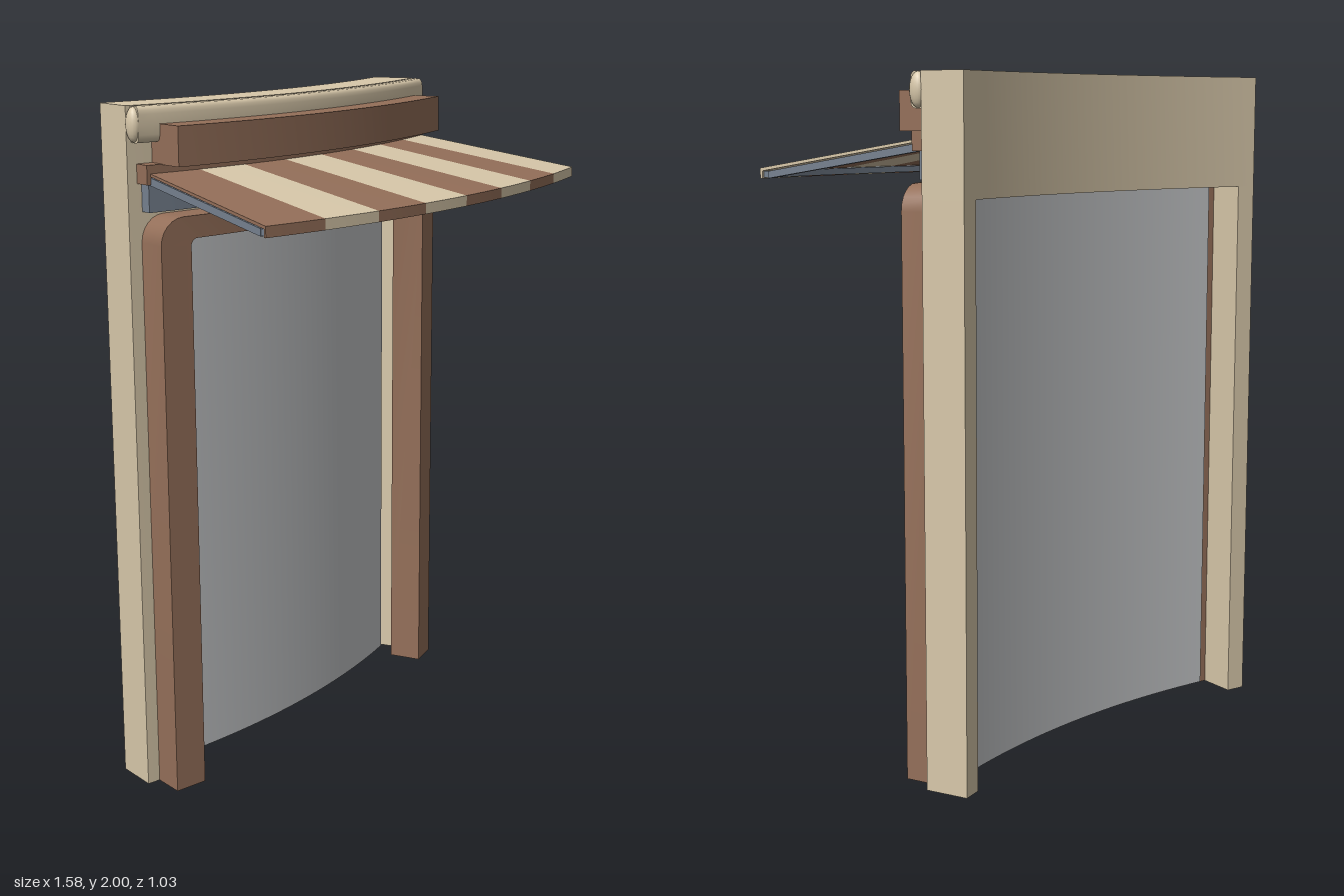
import * as THREE from 'three';
import { mergeGeometries, toCreasedNormals } from 'three/addons/utils/BufferGeometryUtils.js';

const RAD = Math.PI / 180;
// Everything bends around one vertical axis
const AXIS_X = -0.785, AXIS_Z = -2.71;

const material = (name, color, side = THREE.FrontSide) => {
  const m = new THREE.MeshStandardMaterial({ color, side });
  m.name = name;
  return m;
};

// Sweeps a counter-clockwise (radius, height) profile between two angles, with end caps
function sweep(profile, a0, a1, segments = 24, crease = 0.6) {
  const pts = profile.map(([r, y]) => new THREE.Vector2(r, y));
  const body = new THREE.LatheGeometry([...pts, pts[0].clone()], segments, a0 * RAD, (a1 - a0) * RAD);
  const cap = (angle, flip) => {
    const g = new THREE.ShapeGeometry(new THREE.Shape(pts));
    g.rotateY(angle * RAD - Math.PI / 2);
    if (flip) g.index.array.reverse();
    return g;
  };
  return toCreasedNormals(mergeGeometries([body, cap(a0, false), cap(a1, true)]), crease);
}

const rect = (r0, r1, y0, y1) => [[r0, y0], [r1, y0], [r1, y1], [r0, y1]];

// Path of (angle, height) points up, over and down a doorway with rounded corners
function archPath(a0, a1, top, radius) {
  const path = [[a0, 0]];
  const da = radius / 2.7 / RAD, steps = 6, across = 20;
  for (let i = 0; i <= steps; i++) {
    const t = (i / steps) * Math.PI / 2;
    path.push([a0 + da * (1 - Math.cos(t)), top - radius * (1 - Math.sin(t))]);
  }
  for (let i = 1; i < across; i++) {
    path.push([a0 + da + (a1 - a0 - 2 * da) * i / across, top]);
  }
  for (let i = 0; i <= steps; i++) {
    const t = (i / steps) * Math.PI / 2;
    path.push([a1 - da * (1 - Math.sin(t)), top - radius * (1 - Math.cos(t))]);
  }
  path.push([a1, 0]);
  return path;
}

// Rectangular section carried between an outer and an inner arch path
function archFrame(outer, inner, r0, r1) {
  const positions = [], index = [];
  const put = ([a, y], r) => positions.push(r * Math.sin(a * RAD), y, r * Math.cos(a * RAD));
  outer.forEach((p, i) => {
    put(p, r1); put(inner[i], r1); put(inner[i], r0); put(p, r0);
  });
  const last = outer.length - 1;
  for (let i = 0; i < last; i++) {
    for (let k = 0; k < 4; k++) {
      const a = i * 4 + k, b = i * 4 + (k + 1) % 4;
      index.push(a, b, b + 4, a, b + 4, a + 4);
    }
  }
  index.push(0, 2, 1, 0, 3, 2);
  const e = last * 4;
  index.push(e, e + 1, e + 2, e, e + 2, e + 3);
  const g = new THREE.BufferGeometry();
  g.setAttribute('position', new THREE.Float32BufferAttribute(positions, 3));
  g.setIndex(index);
  return toCreasedNormals(g, 0.6);
}

export function createModel() {
  const cream = material('cream', 0xd8c8aa);
  const brown = material('brown', 0x946f59);
  const glass = material('pale grey', 0xc3c5c7);
  const steel = material('steel blue', 0x76818f);

  const group = new THREE.Group();
  group.name = 'curvedShopDoorway';
  const add = (name, geometry, mat) => {
    const mesh = new THREE.Mesh(geometry, mat);
    mesh.name = name;
    mesh.position.set(AXIS_X, 0, AXIS_Z);
    group.add(mesh);
    return mesh;
  };

  // Wall surround: lintel and two slim posts
  add('lintel', sweep(rect(2.53, 2.66, 1.66, 2), 0, 30), cream);
  add('rightWallPost', sweep(rect(2.53, 2.66, 0, 1.66), 0, 1.4, 2), cream);
  add('leftWallPost', sweep(rect(2.53, 2.66, 0, 1.66), 28.6, 30, 2), cream);

  // Rounded cornice rail along the top, with soft ends
  const oval = [];
  for (let i = 0; i < 20; i++) {
    const t = (i / 20) * Math.PI * 2, c = Math.cos(t), s = Math.sin(t);
    oval.push([2.677 + 0.025 * Math.sign(c) * Math.sqrt(Math.abs(c)),
      1.95 + 0.05 * Math.sign(s) * Math.sqrt(Math.abs(s))]);
  }
  add('corniceRail', sweep(oval, 0.3, 29.7, 30, 1), cream);
  for (const [name, a] of [['rightRailEnd', 0.3], ['leftRailEnd', 29.7]]) {
    const end = new THREE.SphereGeometry(1, 16, 12);
    end.scale(0.021, 0.048, 0.025);
    end.translate(0, 1.95, 2.677);
    end.rotateY(a * RAD);
    add(name, end, cream);
  }

  // Sign board and the batten that holds the awning
  add('signBoard', sweep(rect(2.66, 2.786, 1.84, 1.95), 1.75, 28.1), brown);
  add('awningBatten', sweep(rect(2.655, 2.71, 1.788, 1.842), 0.65, 29.3), brown);

  // Door frame and glass panel
  add('doorFrame', archFrame(archPath(0.85, 29, 1.7, 0.075), archPath(2.95, 26.95, 1.637, 0.02), 2.65, 2.755), brown);
  add('glassPanel', sweep(rect(2.588, 2.61, 0.027, 1.665), 3, 27), glass);

  // Striped awning with a short hanging lip
  const cloth = [[2.7, 1.812], [3.217, 1.727], [3.217, 1.705], [3.225, 1.705], [3.225, 1.735], [2.7, 1.82]];
  const first = 0.88, stripe = (29.1 - first) / 8;
  for (let i = 0; i < 8; i++) {
    add('awningStripe' + (i + 1), sweep(cloth, first + i * stripe, first + (i + 1) * stripe, 4, 0.3),
      i % 2 ? cream : brown);
  }

  // Steel support under the awning: wall plate, front bar and side arms
  add('wallPlate', sweep(rect(2.655, 2.695, 1.71, 1.79), 0.95, 29), steel);
  add('frontBar', sweep(rect(3.195, 3.216, 1.708, 1.726), 0.95, 29), steel);
  const arm = [[2.69, 1.788], [3.2, 1.706], [3.2, 1.726], [2.69, 1.81]];
  add('rightArm', sweep(arm, 0.92, 1.32, 1), steel);
  add('leftArm', sweep(arm, 28.66, 29.06, 1), steel);

  return group;
}
